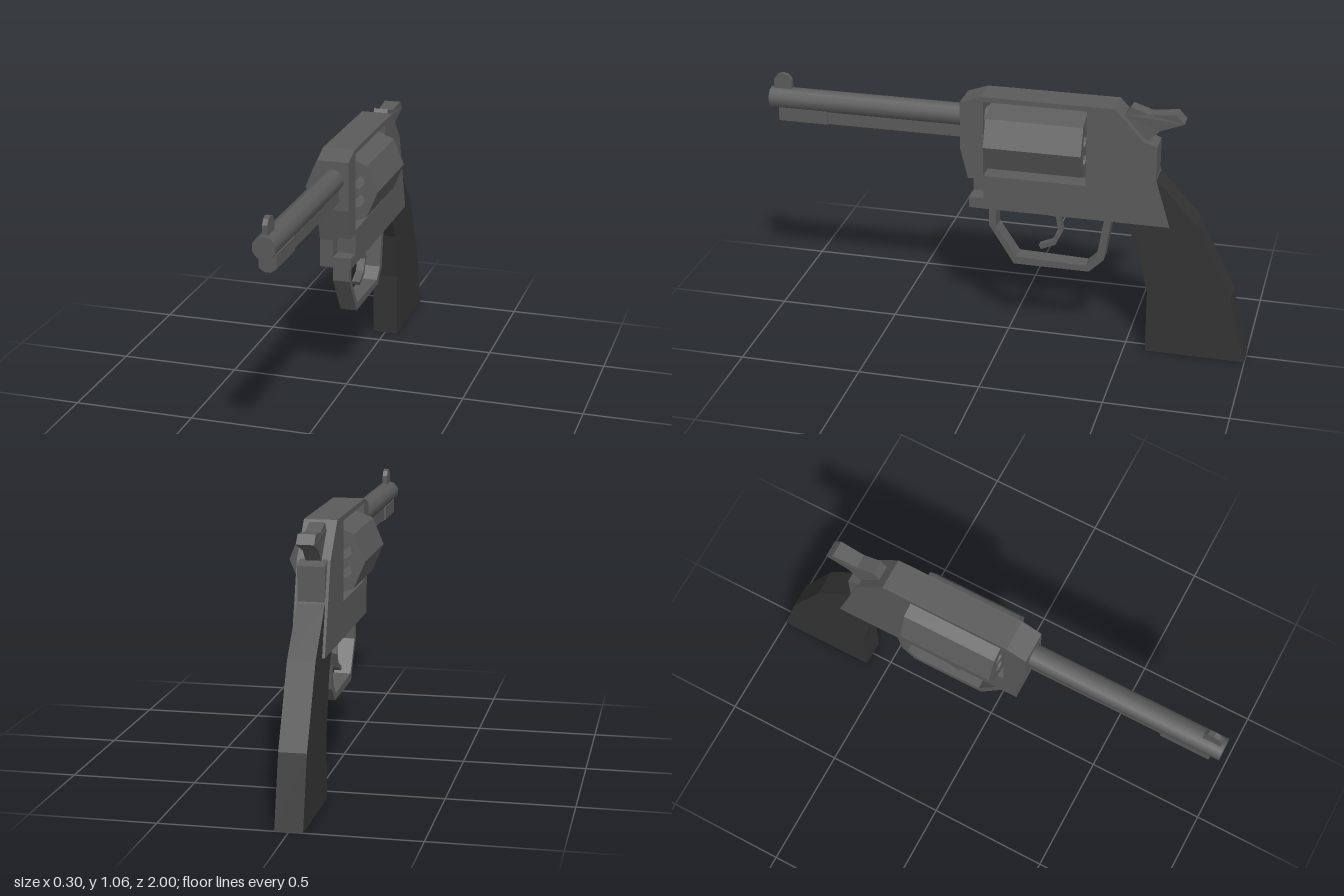
import * as THREE from 'three';

const metal = new THREE.MeshStandardMaterial({ color: 0x5a5a5a, flatShading: true });
const smoothMetal = new THREE.MeshStandardMaterial({ color: 0x5a5a5a });
const gripMat = new THREE.MeshStandardMaterial({ color: 0x333333, flatShading: true });

const toPoints = (pts) => pts.map(([a, b]) => new THREE.Vector2(a, b));

// Side profile in (z, y), extruded across x from x0 to x1
function sidePart(name, pts, x0, x1, material = metal, hole = null) {
  const shape = new THREE.Shape(toPoints(pts));
  if (hole) shape.holes.push(new THREE.Path(toPoints(hole)));
  const geo = new THREE.ExtrudeGeometry(shape, { depth: x1 - x0, bevelEnabled: false });
  geo.rotateY(-Math.PI / 2).translate(x1, 0, 0);
  const mesh = new THREE.Mesh(geo, material);
  mesh.name = name;
  return mesh;
}

// Front profile in (x, y), extruded along z from z0 to z1
function frontPart(name, shape, z0, z1) {
  const geo = new THREE.ExtrudeGeometry(shape, { depth: z1 - z0, bevelEnabled: false, curveSegments: 5 });
  geo.translate(0, 0, z0);
  const mesh = new THREE.Mesh(geo, metal);
  mesh.name = name;
  return mesh;
}

// Round bar along z
function rod(name, radius, y, z0, z1, sides) {
  const geo = new THREE.CylinderGeometry(radius, radius, z1 - z0, sides);
  geo.rotateX(Math.PI / 2).translate(0, y, (z0 + z1) / 2);
  const mesh = new THREE.Mesh(geo, smoothMetal);
  mesh.name = name;
  return mesh;
}

export function createModel() {
  const model = new THREE.Group();
  model.name = 'revolver';

  // Frame in two layers; the left one has a recess at the lower front
  const window = [[0.09, 0.72], [-0.33, 0.72], [-0.33, 1.04], [0.09, 1.04]];
  const frameBack = [[0.185, 0.83], [0.185, 1.03], [0.1, 1.06], [-0.44, 1.06], [-0.565, 0.925], [-0.67, 0.575], [0.15, 0.575]];
  const recess = [[0.15, 0.62], [0.09, 0.62], [0.09, 0.705], [0.154, 0.705]];
  const frame = new THREE.Group();
  frame.name = 'frame';
  frame.add(
    sidePart('frameRight', [...frameBack, [0.15, 0.69]], -0.065, -0.01, metal, window),
    sidePart('frameLeft', [...frameBack, ...recess], -0.01, 0.065, metal, window),
    sidePart('backStrap', [[-0.48, 0.98], [-0.56, 0.93], [-0.61, 0.91], [-0.61, 0.75], [-0.5, 0.7]], -0.053, 0.053),
  );
  model.add(frame);

  // Eight-sided drum with six open chambers
  const drum = new THREE.Shape();
  for (let i = 0; i < 8; i++) {
    const a = (i * Math.PI) / 4;
    const x = 0.15 * Math.cos(a), y = 0.88 + 0.15 * Math.sin(a);
    i ? drum.lineTo(x, y) : drum.moveTo(x, y);
  }
  for (let i = 0; i < 6; i++) {
    const a = Math.PI / 6 + (i * Math.PI) / 3;
    drum.holes.push(new THREE.Path().absarc(0.078 * Math.cos(a), 0.88 + 0.078 * Math.sin(a), 0.03, 0, Math.PI * 2, true));
  }
  model.add(frontPart('drum', drum, -0.325, 0.07), rod('drumAxle', 0.02, 0.88, -0.34, 0.1, 8));

  // Barrel with the rod housing beneath it
  model.add(rod('barrel', 0.046, 0.954, 0.07, 1, 10));
  const lug = (w, top) => new THREE.Shape(toPoints([
    [-w, top], [-w, 0.865], [-0.012, 0.85], [0.012, 0.85], [w, 0.865], [w, top],
  ]));
  model.add(
    frontPart('barrelLug', lug(0.026, 0.93), 0.17, 0.76),
    frontPart('rodHousing', lug(0.034, 0.92), 0.755, 0.962),
  );
  model.add(sidePart('frontSight', [
    [0.985, 0.98], [0.985, 1.035], [0.97, 1.055], [0.95, 1.062], [0.925, 1.055], [0.91, 1.035], [0.91, 0.98],
  ], -0.01, 0.01));

  // Hammer with a spur that flares at the tip
  const hammer = sidePart('hammer', [
    [-0.475, 1.025], [-0.5, 1.06], [-0.575, 1.035], [-0.68, 1.045], [-0.712, 1.01], [-0.615, 0.97], [-0.565, 0.92], [-0.5, 0.96],
  ], -0.03, 0.03);
  const pos = hammer.geometry.attributes.position;
  for (let i = 0; i < pos.count; i++) {
    if (pos.getZ(i) < -0.65) pos.setX(i, pos.getX(i) * 1.15);
  }
  hammer.geometry.computeVertexNormals();
  model.add(hammer);

  // Trigger and its guard
  model.add(sidePart('triggerGuard', [
    [0.075, 0.58], [0.075, 0.49], [-0.03, 0.325], [-0.345, 0.325], [-0.405, 0.385], [-0.435, 0.58],
    [-0.405, 0.58], [-0.375, 0.395], [-0.33, 0.35], [-0.04, 0.358], [0.045, 0.485], [0.045, 0.58],
  ], -0.035, 0.035));
  model.add(sidePart('trigger', [
    [-0.16, 0.58], [-0.175, 0.552], [-0.2, 0.548], [-0.212, 0.487], [-0.19, 0.438], [-0.13, 0.412],
    [-0.14, 0.395], [-0.2, 0.422], [-0.23, 0.485], [-0.217, 0.545], [-0.233, 0.56], [-0.233, 0.58],
  ], -0.017, 0.017));

  // Grip
  model.add(sidePart('grip', [
    [-0.485, 0.58], [-0.545, 0.475], [-0.59, 0.27], [-0.59, 0], [-1, 0], [-0.93, 0.28], [-0.78, 0.59], [-0.615, 0.77], [-0.55, 0.7],
  ], -0.054, 0.054, gripMat));

  return model;
}
